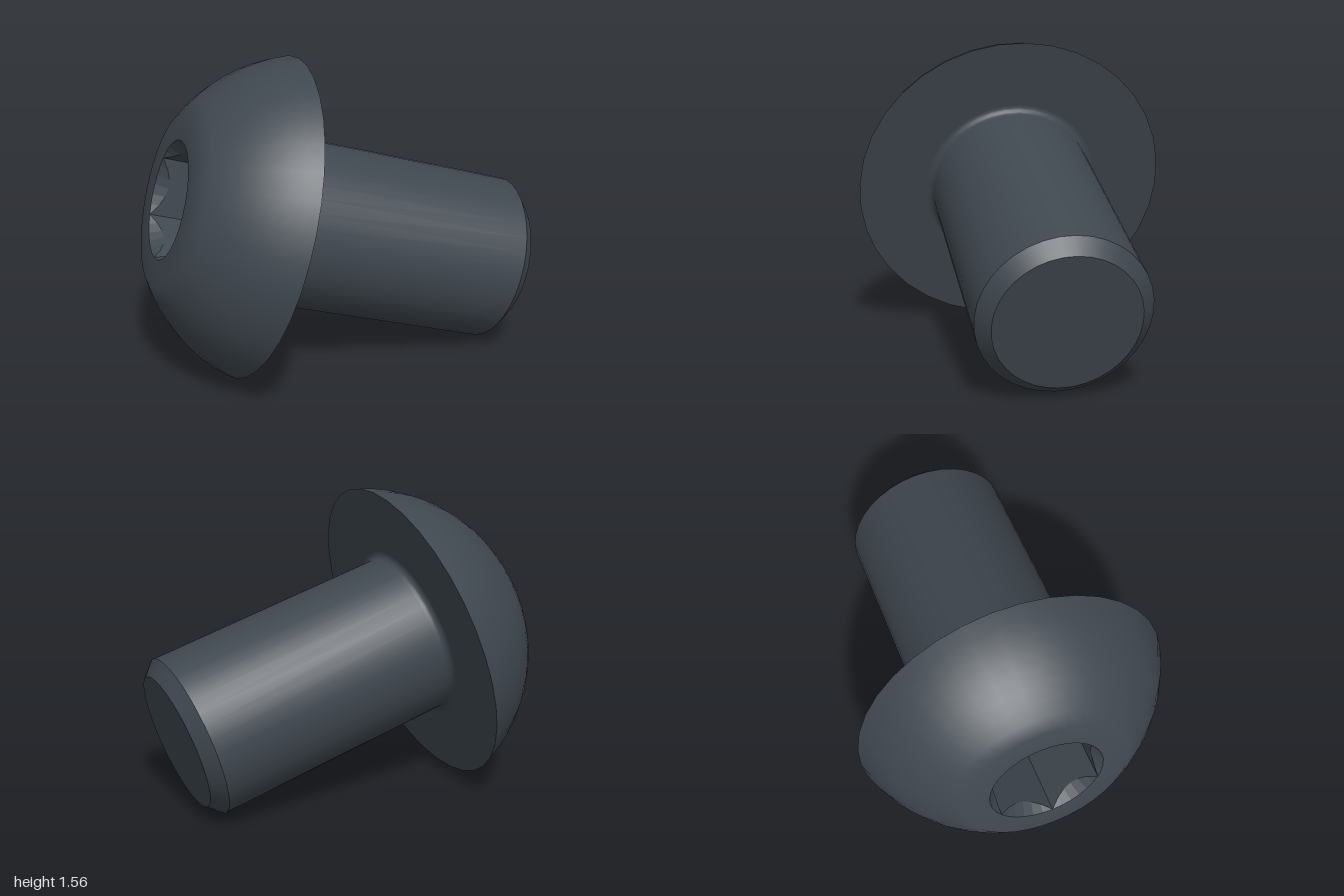
import * as THREE from 'three';

const SEG = 36;
const HEAD_R = 0.814, HEAD_H = 0.471, TOP_R = 0.43;
const SHAFT_R = 0.426, SHAFT_L = 1.371, CHAMFER = 0.068, FILLET = 0.036;
const HEX_R = 0.297, HEX_FLAT = HEX_R * Math.cos(Math.PI / 6), HEX_DEPTH = 0.34;

export function createModel() {
  const model = new THREE.Group();
  model.name = 'buttonHeadScrew';
  const steel = new THREE.MeshStandardMaterial({ color: 0x3f474f });
  steel.name = 'dark steel';

  const add = (name, geometry) => {
    const mesh = new THREE.Mesh(geometry, steel);
    mesh.name = name;
    model.add(mesh);
  };
  const lathe = (name, pts) =>
    add(name, new THREE.LatheGeometry(pts.map(([r, y]) => new THREE.Vector2(r, y)), SEG));

  // Tip, its bevel and the underside of the head are separate for crisp edges
  const bevelY = CHAMFER - SHAFT_L;
  lathe('tip', [[0, -SHAFT_L], [SHAFT_R - CHAMFER, -SHAFT_L]]);
  lathe('tipBevel', [[SHAFT_R - CHAMFER, -SHAFT_L], [SHAFT_R, bevelY]]);
  lathe('headUnderside', [[SHAFT_R + FILLET, 0], [HEAD_R, 0]]);

  // Shaft with a small fillet where it meets the head
  const shaft = [[SHAFT_R, bevelY], [SHAFT_R, -FILLET - 0.01]];
  for (let i = 0; i <= 5; i++) {
    const a = (i / 5) * Math.PI / 2;
    shaft.push([SHAFT_R + FILLET * (1 - Math.cos(a)), -FILLET * (1 - Math.sin(a))]);
  }
  lathe('shaft', shaft);

  // Spherical dome ending in a flat ring around the socket
  const centreY = (TOP_R ** 2 + HEAD_H ** 2 - HEAD_R ** 2) / (2 * HEAD_H);
  const R = Math.hypot(HEAD_R, centreY);
  const a0 = Math.atan2(-centreY, HEAD_R), a1 = Math.atan2(HEAD_H - centreY, TOP_R);
  const dome = [];
  for (let i = 0; i <= 8; i++) {
    const a = a0 + (a1 - a0) * i / 8;
    dome.push([R * Math.cos(a), centreY + R * Math.sin(a)]);
  }
  dome.push([HEX_R, HEAD_H]);
  lathe('headDome', dome);

  // Hexagonal socket: round mouth, conical lead-in, flat walls and floor
  const rows = [[], [], [], []];
  for (let i = 0; i <= SEG; i++) {
    const a = (i / SEG) * Math.PI * 2;
    const fromFlat = (a % (Math.PI / 3)) - Math.PI / 6;
    const r = HEX_FLAT / Math.cos(fromFlat);
    const at = (rad, y) => [rad * Math.cos(a), y, rad * Math.sin(a)];
    rows[0].push(at(HEX_R, HEAD_H));
    rows[1].push(at(r, HEAD_H - (HEX_R - r) * 1.6));
    rows[2].push(at(r, HEAD_H - HEX_DEPTH));
    rows[3].push(at(0, HEAD_H - HEX_DEPTH));
  }
  const pos = [];
  for (let j = 0; j < 3; j++) {
    for (let i = 0; i < SEG; i++) {
      const a = rows[j][i], b = rows[j][i + 1], c = rows[j + 1][i + 1], d = rows[j + 1][i];
      pos.push(...a, ...d, ...b);
      if (j < 2) pos.push(...b, ...d, ...c);
    }
  }
  // Corner order is turned so that the faces look into the socket
  for (let i = 0; i < pos.length; i += 9) {
    const p = [0, 3, 6].map(k => new THREE.Vector3().fromArray(pos, i + k));
    const n = p[1].clone().sub(p[0]).cross(p[2].clone().sub(p[0]));
    const inward = new THREE.Vector3(0, HEAD_H, 0).sub(p[0].clone().add(p[1]).add(p[2]).divideScalar(3));
    if (n.dot(inward) < 0) {
      p[2].toArray(pos, i + 3);
      p[1].toArray(pos, i + 6);
    }
  }
  const socket = new THREE.BufferGeometry();
  socket.setAttribute('position', new THREE.Float32BufferAttribute(pos, 3));
  socket.computeVertexNormals();
  add('hexSocket', socket);

  // Lay the screw over: local +y points out of the head, local +x at a socket corner
  const axis = new THREE.Vector3(-0.9395, 0.2819, -0.1945).normalize();
  const corner = new THREE.Vector3(-0.307, -0.443, 0.843);
  corner.addScaledVector(axis, -corner.dot(axis)).normalize();
  const side = new THREE.Vector3().crossVectors(corner, axis);
  model.quaternion.setFromRotationMatrix(new THREE.Matrix4().makeBasis(corner, axis, side));
  model.position.set(-0.411, 0.782, 0.01);

  const root = new THREE.Group();
  root.name = 'screw';
  root.add(model);
  return root;
}
